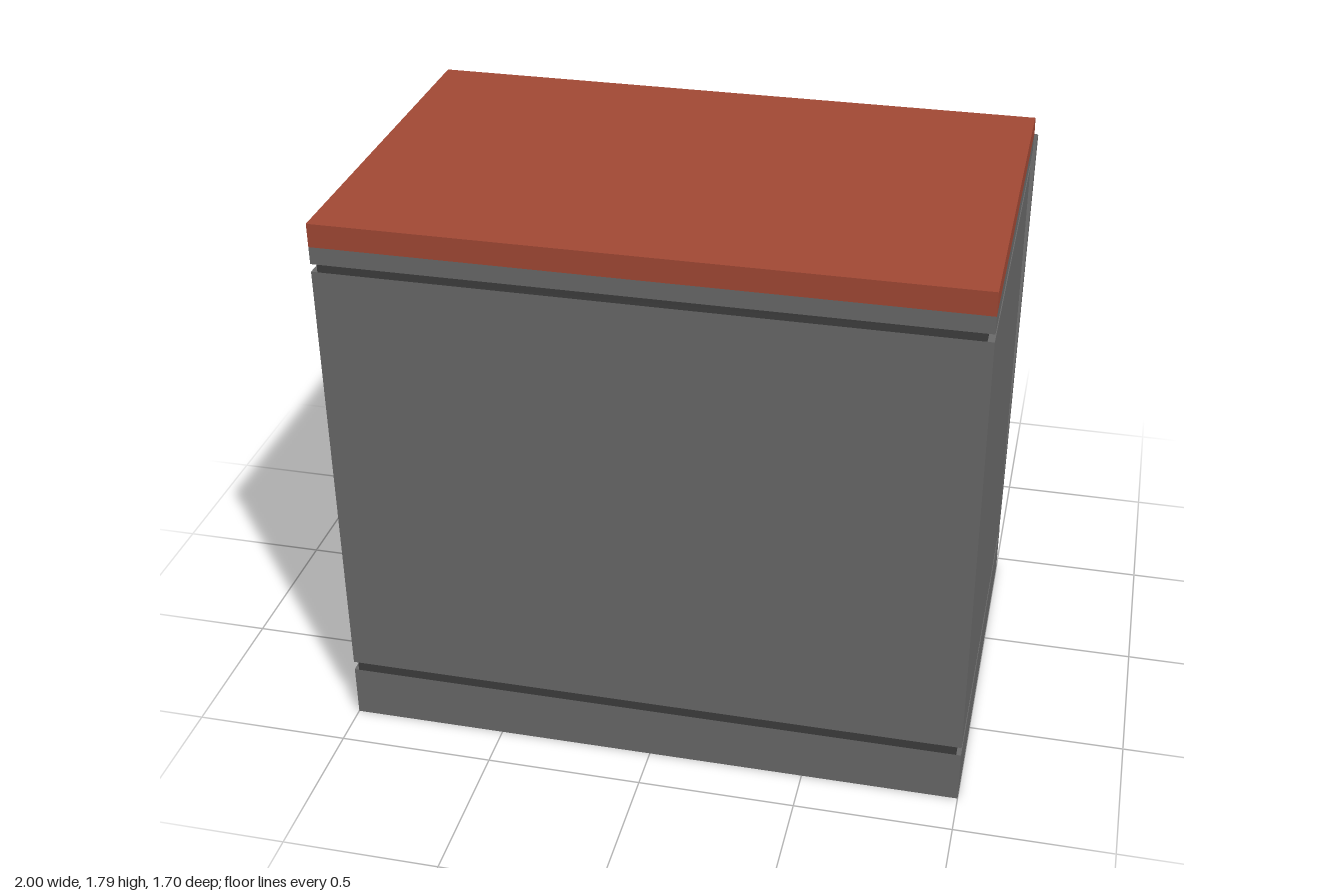
import * as THREE from 'three';

const grey = new THREE.MeshStandardMaterial({ color: 0x6a6a6a });
const dark = new THREE.MeshStandardMaterial({ color: 0x3e3e3e });
const red = new THREE.MeshStandardMaterial({ color: 0xa24935 });
const BACK = 0.855;

function add(parent, name, geometry, material = grey) {
  const mesh = new THREE.Mesh(geometry, material);
  mesh.name = name;
  parent.add(mesh);
  return mesh;
}

// Box given by its half width and its y and z limits
function slab(parent, name, halfX, y0, y1, z0, z1, material) {
  const mesh = add(parent, name, new THREE.BoxGeometry(halfX * 2, y1 - y0, z1 - z0), material);
  mesh.position.set(0, (y0 + y1) / 2, (z0 + z1) / 2);
}

const outline = (points) => new THREE.Shape(points.map(([x, y]) => new THREE.Vector2(x, y)));

// Outline in (x, -z) raised along y
function raise(shape, height) {
  return new THREE.ExtrudeGeometry(shape, { depth: height, bevelEnabled: false, curveSegments: 8 })
    .rotateX(-Math.PI / 2);
}

// Move every vertex of a geometry by a rule
function reshape(geometry, rule) {
  const position = geometry.attributes.position;
  const v = new THREE.Vector3();
  for (let i = 0; i < position.count; i++) {
    rule(v.fromBufferAttribute(position, i));
    position.setXYZ(i, v.x, v.y, v.z);
  }
  return geometry;
}

export function createModel() {
  const model = new THREE.Group();
  model.name = 'cabinet';

  // Plinth, shadow gaps and the rail below the worktop
  slab(model, 'plinth', 1, 0, 0.175, -0.445, BACK);
  slab(model, 'lowerGap', 0.985, 0.175, 0.205, -0.425, BACK, dark);
  slab(model, 'upperGap', 0.98, 1.64, 1.665, -0.425, BACK, dark);
  slab(model, 'topRail', 1, 1.665, 1.72, -0.445, BACK);

  // Carcass: back and side walls, open towards the door
  const walls = outline([
    [-1, -BACK], [1, -BACK], [1, 0.38], [0.965, 0.38],
    [0.965, -0.82], [-0.965, -0.82], [-0.965, 0.38], [-1, 0.38],
  ]);
  add(model, 'carcass', raise(walls, 1.435)).position.y = 0.205;

  // Worktop with a faceted nose over the door
  const top = outline([[-BACK, 1.72], [0.46, 1.72], [0.438, 1.78], [0.41, 1.795], [-BACK, 1.795]]);
  const topGeometry = new THREE.ExtrudeGeometry(top, { depth: 2, bevelEnabled: false });
  topGeometry.translate(0, 0, -1).rotateY(Math.PI / 2);
  add(model, 'worktop', topGeometry, red);

  // Door tilted open about its lower edge
  const door = new THREE.Group();
  door.name = 'door';
  door.position.set(0, 0.173, -0.447);
  door.rotation.x = -0.231;
  model.add(door);

  const r = 0.02;
  const panel = new THREE.Shape();
  panel.moveTo(-1, -0.09);
  panel.lineTo(1, -0.09);
  panel.lineTo(1, -r);
  panel.quadraticCurveTo(1, 0, 1 - r, 0);
  panel.lineTo(-1 + r, 0);
  panel.quadraticCurveTo(-1, 0, -1, -r);
  add(door, 'doorPanel', raise(panel, 1.452));

  // Oval handle bar mitred onto two posts
  const handle = new THREE.Group();
  handle.name = 'handle';
  handle.position.y = 1.342;
  door.add(handle);
  const postX = 0.87, reach = 0.075, halfX = 0.014, halfY = 0.038, halfZ = 0.018;
  const bar = new THREE.CylinderGeometry(1, 1, postX * 2, 24, 1, true)
    .rotateZ(Math.PI / 2).scale(1, halfY, halfZ);
  reshape(bar, (v) => { v.x -= Math.sign(v.x) * v.z / halfZ * halfX; });
  add(handle, 'handleBar', bar).position.z = -reach;
  for (const side of [-1, 1]) {
    const post = new THREE.CylinderGeometry(1, 1, reach, 24, 1, true)
      .rotateX(Math.PI / 2).scale(halfX, halfY, 1).translate(0, 0, -reach / 2);
    reshape(post, (v) => { if (v.z < -reach / 2) v.z -= side * v.x / halfX * halfZ; });
    add(handle, 'handlePost', post).position.x = side * postX;
  }
  return model;
}
